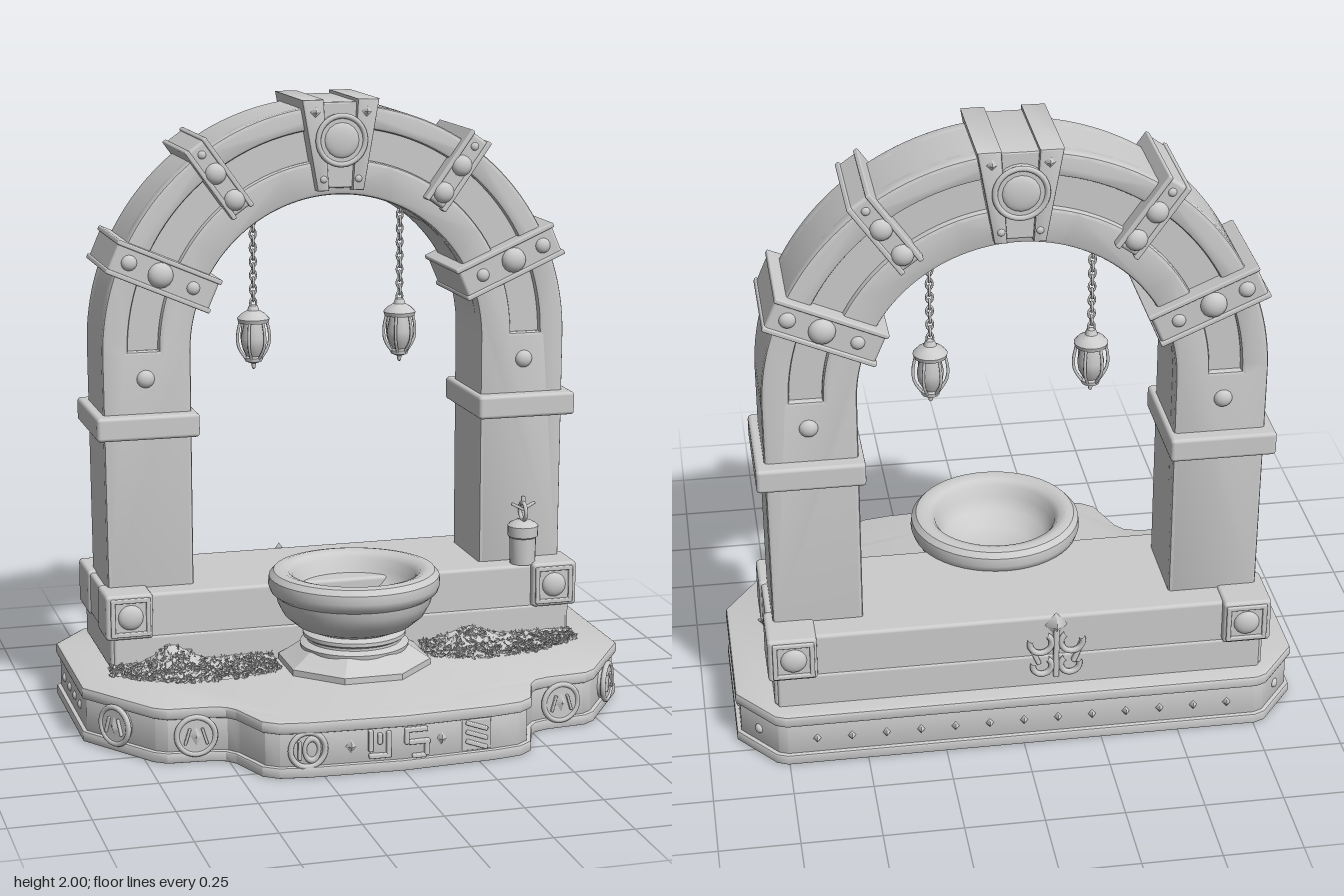
import * as THREE from 'three';
import { mergeGeometries, toCreasedNormals } from 'three/addons/utils/BufferGeometryUtils.js';
import { RoundedBoxGeometry } from 'three/addons/geometries/RoundedBoxGeometry.js';

const stone = new THREE.MeshStandardMaterial({ color: 0xcccccc });
const thin = new THREE.MeshStandardMaterial({ color: 0xcccccc, side: THREE.DoubleSide });
const V2 = (x, y) => new THREE.Vector2(x, y);

function put(parent, name, geo, x = 0, y = 0, z = 0, mat = stone) {
  const m = new THREE.Mesh(geo, mat);
  m.name = name;
  m.position.set(x, y, z);
  parent.add(m);
  return m;
}
function group(parent, name, x = 0, y = 0, z = 0, ry = 0) {
  const g = new THREE.Group();
  g.name = name;
  g.position.set(x, y, z);
  g.rotation.y = ry;
  parent.add(g);
  return g;
}
const box = (w, h, d, r = 0.01) => new RoundedBoxGeometry(w, h, d, 2, r);
const disc = (r, d, n = 24) => new THREE.CylinderGeometry(r * 0.94, r, d, n).rotateX(Math.PI / 2);
const dome = (r, flat = 0.7) => new THREE.SphereGeometry(r, 16, 6, 0, Math.PI * 2, 0, Math.PI / 2)
  .scale(1, flat, 1).rotateX(Math.PI / 2);
const diamond = (w, h, d) => new THREE.ConeGeometry(1, d, 4).rotateX(Math.PI / 2).scale(w, h, 1);
const extrude = (shape, opts) => toCreasedNormals(new THREE.ExtrudeGeometry(shape, opts), 0.5);
const lathe = (pts, n = 40) => toCreasedNormals(new THREE.LatheGeometry(pts.map(p => V2(...p)), n), 0.6);

let seed = 7;
const rand = () => (seed = (seed * 16807) % 2147483647) / 2147483647;

// Stepped base: two rims around a recessed frieze
function addBase(root) {
  const half = [[0, 0.6], [0.3, 0.583], [0.39, 0.568], [0.435, 0.535], [0.485, 0.4], [0.51, 0.37], [0.55, 0.355],
    [0.69, 0.342], [0.73, 0.315], [0.905, 0.06], [0.905, -0.44], [0.79, -0.585], [0.755, -0.6]];
  const pts = [...half, ...half.slice(1).reverse().map(([x, z]) => [-x, z])].map(p => V2(...p));
  const layer = (name, y0, y1, inset, bevel) => {
    const g = extrude(new THREE.Shape(pts), { depth: y1 - y0 - 2 * bevel, bevelThickness: bevel,
      bevelSize: bevel, bevelOffset: -inset - bevel, bevelSegments: 2 });
    put(root, name, g.rotateX(Math.PI / 2), 0, y1 - bevel, 0);
  };
  layer('baseBottomRim', 0, 0.035, 0, 0.006);
  layer('baseFrieze', 0.02, 0.16, 0.014, 0.002);
  layer('baseTopRim', 0.14, 0.18, 0, 0.01);

  // Round medallions on the front corners
  for (const s of [1, -1]) {
    for (const [x, z, a] of [[0.815, 0.18, 0.97], [0.6, 0.34, 0.1]]) {
      const g = group(root, 'friezeMedallion', s * x, 0.088, z, s * a);
      put(g, 'medallionDisc', disc(0.058, 0.03));
      put(g, 'medallionRim', new THREE.TorusGeometry(0.06, 0.009, 8, 28), 0, 0, 0.012);
      put(g, 'medallionBoss', diamond(0.02, 0.035, 0.014), 0, 0, 0.02);
      for (const t of [1, -1]) put(g, 'medallionBar', box(0.009, 0.055, 0.012, 0.003), t * 0.027, 0, 0.018).rotation.z = t * 0.3;
    }
    // Studs on the sides and the rear chamfers
    for (const z of [-0.06, -0.155, -0.25, -0.35]) put(root, 'sideStud', dome(0.015), s * 0.89, 0.085, z).rotation.y = s * Math.PI / 2;
    put(root, 'chamferStud', dome(0.016), s * 0.837, 0.085, -0.505).rotation.y = s * 2.24;
  }
  for (let i = -6; i <= 6; i++) {
    put(root, 'backStud', diamond(0.016, 0.02, 0.026), i * 0.11, 0.085, -0.594).rotation.y = Math.PI;
  }

  // Carved reliefs along the front
  const front = x => 0.583 - 0.055 * Math.abs(x);
  const relief = (x, build) => build(group(root, 'frontRelief', x, 0.088, front(x), x * 0.06));
  const bars = list => g => list.forEach(([x, y, w, h]) => put(g, 'reliefBar', box(w, h, 0.022, 0.004), x, y, 0.004));
  relief(-0.3, g => {
    put(g, 'reliefRing', new THREE.TorusGeometry(0.055, 0.009, 8, 28), 0, 0, 0.006);
    put(g, 'reliefOval', new THREE.TorusGeometry(0.023, 0.007, 8, 20).scale(1, 1.5, 1), 0.012, 0, 0.006);
    put(g, 'reliefBar', box(0.01, 0.06, 0.02, 0.003), -0.027, 0, 0.006);
  });
  for (const x of [-0.165, 0.125]) relief(x, g => put(g, 'reliefDiamond', diamond(0.026, 0.036, 0.026), 0, 0, 0.006));
  relief(-0.075, bars([[-0.03, 0.015, 0.015, 0.07], [0, -0.035, 0.07, 0.015], [0.028, 0, 0.015, 0.085], [0, 0.02, 0.015, 0.035]]));
  relief(0.04, bars([[0, 0.04, 0.075, 0.015], [-0.03, 0.02, 0.015, 0.05], [0.01, 0, 0.07, 0.015], [0.035, -0.02, 0.015, 0.05], [0.01, -0.045, 0.045, 0.013]]));
  relief(0.24, g => {
    put(g, 'reliefPlate', box(0.095, 0.1, 0.014, 0.004));
    for (const y of [-0.03, 0, 0.03]) put(g, 'reliefWave', box(0.075, 0.014, 0.02, 0.004), 0, y, 0.006).rotation.z = -0.35;
  });
}

// Bench with framed corner blocks
function addBench(root) {
  put(root, 'benchFoot', box(1.55, 0.12, 0.46), 0, 0.23, -0.305);
  put(root, 'bench', box(1.57, 0.25, 0.45, 0.012), 0, 0.305, -0.305);
  for (const s of [1, -1]) {
    put(root, 'benchEndPanel', box(0.16, 0.14, 0.3), s * 0.715, 0.36, -0.3);
    for (const f of [1, -1]) {
      const zc = f > 0 ? -0.13 : -0.465;
      put(root, 'cornerBlock', box(0.155, 0.15, f > 0 ? 0.15 : 0.18, 0.012), s * 0.725, 0.362, zc);
      const g = group(root, 'cornerPlate', s * 0.722, 0.362, f > 0 ? -0.057 : -0.553, f > 0 ? 0 : Math.PI);
      for (const t of [1, -1]) {
        put(g, 'plateFrame', box(0.13, 0.015, 0.02, 0.004), 0, t * 0.056, 0);
        put(g, 'plateFrame', box(0.015, 0.125, 0.02, 0.004), t * 0.058, 0, 0);
      }
      put(g, 'plateBoss', dome(0.042, 0.5));
    }
  }
  // Branching ornament on the back
  const g = group(root, 'backOrnament', -0.11, 0.31, -0.535, Math.PI);
  put(g, 'ornamentStem', box(0.018, 0.2, 0.03, 0.005));
  put(g, 'ornamentTip', diamond(0.035, 0.045, 0.03), 0, 0.09, 0.012);
  for (const s of [1, -1]) {
    for (const [y, r] of [[0.03, 0.035], [-0.055, 0.03]]) {
      put(g, 'ornamentCurl', new THREE.TorusGeometry(r, 0.01, 8, 20, 4.5), s * (r + 0.015), y, 0.008).rotation.z = s > 0 ? 2.2 : -3.5;
    }
    put(g, 'ornamentLeaf', box(0.015, 0.08, 0.026, 0.005), s * 0.07, -0.01, 0.002).rotation.z = -s * 0.4;
  }
}

// Arch with a sunken channel on both faces
function addArch(root) {
  const cy = 1.2, cz = -0.3;
  const outline = () => {
    const s = new THREE.Shape();
    s.moveTo(0.49, 0.42);
    s.lineTo(0.775, 0.42);
    s.absarc(0, cy, 0.78, 0, Math.PI, false);
    s.lineTo(-0.775, 0.42);
    s.lineTo(-0.49, 0.42);
    s.absarc(0, cy, 0.49, Math.PI, 0, true);
    return s;
  };
  put(root, 'archCore', extrude(outline(), { depth: 0.24, bevelEnabled: false, curveSegments: 40 }), 0, 0, cz - 0.12);
  const face = outline(), channel = new THREE.Path();
  channel.absarc(0, cy + 0.01, 0.695, 0, Math.PI, false);
  channel.absarc(0, cy + 0.01, 0.595, Math.PI, 0, true);
  channel.closePath();
  face.holes.push(channel);
  for (const f of [1, -1]) {
    const g = extrude(face, { depth: 0.04, bevelThickness: 0.012, bevelSize: 0.012, bevelOffset: -0.012, bevelSegments: 2, curveSegments: 40 });
    put(root, 'archFace', g, 0, 0, f > 0 ? cz + 0.09 : cz - 0.13);
  }

  // Collars, studs and radial clamps
  const faces = (parent, name, geo, x, y, d) => {
    put(parent, name, geo, x, y, d);
    put(parent, name, geo, x, y, -d).rotation.y = Math.PI;
  };
  for (const s of [1, -1]) {
    put(root, 'pillarCollar', box(0.335, 0.078, 0.375, 0.012), s * 0.64, 0.968, cz);
    const g = group(root, 'pillarStuds', s * 0.64, 1.12, cz);
    faces(g, 'pillarStud', dome(0.03), 0, 0, 0.138);
    for (const [deg, r0, r1, w, studs] of [[23.5, 0.455, 0.81, 0.115, [[0.53, 0.022], [0.645, 0.042], [0.755, 0.026]]],
      [54.5, 0.555, 0.815, 0.085, [[0.6, 0.035], [0.705, 0.035], [0.78, 0.014]]]]) {
      const c = group(root, 'archClamp', 0, cy, cz);
      const a = deg * Math.PI / 180;
      c.rotation.z = s > 0 ? a : Math.PI - a;
      put(c, 'clampBand', box(r1 - r0, w, 0.335, 0.012), (r0 + r1) / 2, 0, 0);
      for (const t of [1, -1]) put(c, 'clampEdge', box(r1 - r0 + 0.01, 0.016, 0.35, 0.005), (r0 + r1) / 2, t * (w / 2 - 0.008), 0);
      for (const [r, size] of studs) faces(c, 'clampStud', dome(size), r, 0, 0.165);
    }
  }

  // Keystone with flanges and a round seal
  const key = group(root, 'keystone', 0, 0, cz);
  const wedge = new THREE.Shape([V2(-0.07, 1.72), V2(0.07, 1.72), V2(0.115, 1.985), V2(-0.115, 1.985)]);
  put(key, 'keystoneWedge', extrude(wedge, { depth: 0.31, bevelThickness: 0.008, bevelSize: 0.006, bevelSegments: 2 }), 0, 0, -0.155);
  for (const s of [1, -1]) {
    const rib = new THREE.Shape([V2(s * 0.045, 1.713), V2(s * 0.072, 1.713), V2(s * 0.122, 1.994), V2(s * 0.062, 1.994)]);
    put(key, 'keystoneFlange', extrude(rib, { depth: 0.344, bevelThickness: 0.006, bevelSize: 0.006, bevelSegments: 2 }), 0, 0, -0.172);
    faces(key, 'keystoneRivet', diamond(0.02, 0.02, 0.02), s * 0.085, 1.96, 0.185);
    faces(key, 'keystoneRivet', dome(0.012), s * 0.058, 1.745, 0.176);
  }
  faces(key, 'sealDisc', disc(0.085, 0.03), 0, 1.87, 0.172);
  faces(key, 'sealRim', new THREE.TorusGeometry(0.078, 0.009, 8, 32), 0, 1.87, 0.186);
  faces(key, 'sealCentre', dome(0.058, 0.25), 0, 1.87, 0.185);
}

// Hanging lantern on a chain
function addLantern(root, x) {
  const g = group(root, 'lantern', x, 0, -0.3);
  for (let i = 0; i < 15; i++) {
    put(g, 'chainLink', new THREE.TorusGeometry(0.012, 0.0042, 6, 12).scale(0.85, 1.3, 1), 0, 1.645 - i * 0.0228, 0).rotation.y = i % 2 * Math.PI / 2;
  }
  put(g, 'lanternCap', lathe([[0, 1.262], [0.05, 1.262], [0.054, 1.275], [0.04, 1.29], [0.02, 1.302], [0.014, 1.318], [0, 1.322]], 16));
  put(g, 'lanternGlass', lathe([[0, 1.145], [0.022, 1.15], [0.038, 1.18], [0.042, 1.21], [0.03, 1.265]], 16), 0, 0, 0, thin);
  put(g, 'lanternFoot', lathe([[0, 1.105], [0.006, 1.11], [0.008, 1.125], [0.028, 1.133], [0.03, 1.145], [0, 1.152]], 16));
  const bar = new THREE.CatmullRomCurve3([[0.044, 1.27], [0.054, 1.22], [0.05, 1.18], [0.024, 1.138]].map(p => new THREE.Vector3(...p, 0)));
  for (let i = 0; i < 6; i++) put(g, 'lanternBar', new THREE.TubeGeometry(bar, 8, 0.005, 6)).rotation.y = i * Math.PI / 3;
}

// Stone basin on an octagonal foot
function addBasin(root) {
  const g = group(root, 'basin', 0, 0, 0.03);
  const foot = new THREE.LatheGeometry([[0, 0.17], [0.25, 0.17], [0.25, 0.2], [0.225, 0.215], [0.18, 0.245], [0, 0.245]].map(p => V2(...p)), 8);
  put(g, 'basinFoot', toCreasedNormals(foot, 0.2)).rotation.y = Math.PI / 8;
  put(g, 'basinStem', lathe([[0.175, 0.235], [0.178, 0.252], [0.155, 0.262], [0.155, 0.27], [0.168, 0.278], [0.168, 0.29], [0.145, 0.3], [0.145, 0.31]]));
  put(g, 'basinBowl', lathe([[0, 0.295], [0.14, 0.297], [0.19, 0.318], [0.23, 0.352], [0.25, 0.39], [0.255, 0.415], [0.272, 0.428],
    [0.28, 0.45], [0.277, 0.478], [0.262, 0.495], [0.24, 0.5], [0.215, 0.492], [0.2, 0.475], [0.19, 0.44], [0.165, 0.4], [0.11, 0.37], [0, 0.36]], 48));
}

// Small bucket with a ring handle
function addBucket(root) {
  const g = group(root, 'bucket', 0.63, 0.43, -0.115);
  put(g, 'bucketBody', lathe([[0, 0], [0.043, 0], [0.045, 0.09], [0.051, 0.095], [0.052, 0.13], [0.044, 0.137], [0.03, 0.145], [0, 0.148]], 20));
  put(g, 'bucketRing', new THREE.TorusGeometry(0.03, 0.007, 8, 20), 0, 0.178, 0).rotation.y = Math.PI / 2;
  for (const s of [1, -1]) put(g, 'bucketTie', box(0.05, 0.01, 0.012, 0.004), s * 0.02, 0.195, 0).rotation.z = s * 0.5;
  put(g, 'bucketKnot', box(0.014, 0.04, 0.014, 0.004), 0, 0.21, 0);
}

// Leafy moss patch between bench and basin
function addMoss(root, s) {
  const depth = u => 0.06 + 0.14 * Math.sin(Math.PI * Math.min(1, 0.15 + u * 0.85)) ** 0.8;
  const peak = u => s < 0 ? 0.018 + 0.06 * Math.exp(-(((u - 0.62) / 0.12) ** 2)) : 0.018 + 0.035 * Math.exp(-(((u - 0.32) / 0.15) ** 2));
  const spot = (u, v) => [s * (0.25 + 0.54 * u), 0.18 + peak(u) * (1 - v) ** 1.5, -0.085 + depth(u) * v];
  const mound = new THREE.PlaneGeometry(1, 1, 30, 12), p = mound.attributes.position;
  for (let i = 0; i < p.count; i++) {
    const [x, y, z] = spot(p.getX(i) + 0.5, p.getY(i) + 0.5);
    p.setXYZ(i, x, y + rand() * 0.008, z);
  }
  mound.computeVertexNormals();
  put(root, 'mossMound', mound, 0, 0, 0, thin);
  const leaves = [];
  for (let i = 0; i < 650; i++) {
    const leaf = new THREE.ConeGeometry(0.006 + rand() * 0.005, 0.018 + rand() * 0.016, 3);
    leaf.rotateX(rand() * 2.4 - 1.2).rotateZ(rand() * 2.4 - 1.2);
    const [x, y, z] = spot(rand(), rand() ** 0.8);
    leaves.push(leaf.translate(x, y + 0.005, z));
  }
  put(root, 'mossLeaves', mergeGeometries(leaves));
}

export function createModel() {
  const root = new THREE.Group();
  root.name = 'archShrine';
  addBase(root);
  addBench(root);
  addArch(root);
  addBasin(root);
  addBucket(root);
  for (const s of [1, -1]) {
    addLantern(root, s * 0.25);
    addMoss(root, s);
  }
  return root;
}
